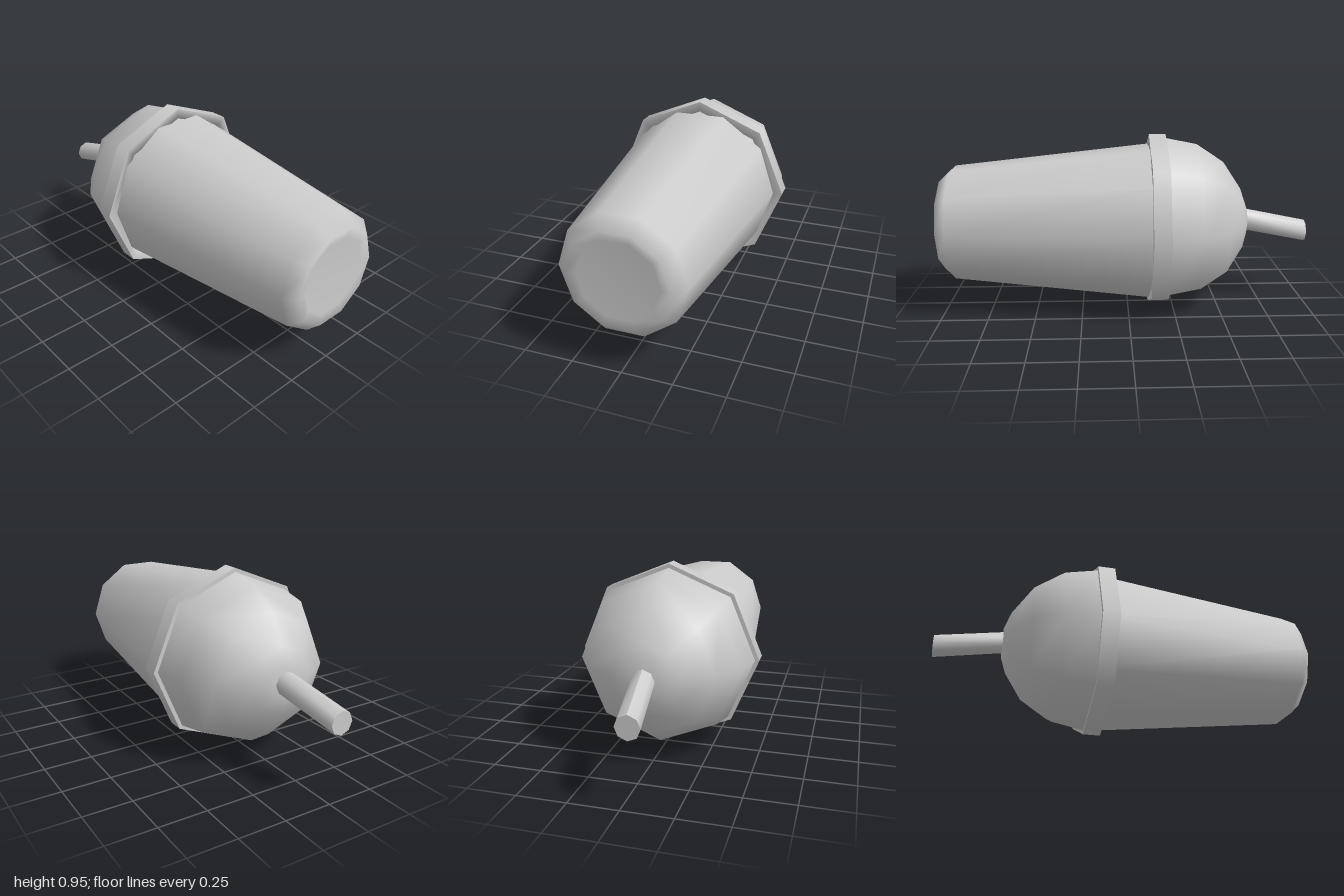
import * as THREE from 'three';

const material = new THREE.MeshStandardMaterial({ color: 0xcccccc, side: THREE.DoubleSide });

// Lathe around the z axis; profile is [radius, z] with z rising along the outside
function turned(name, profile, sides) {
  const points = profile.map(([r, z]) => new THREE.Vector2(r, z));
  const geometry = new THREE.LatheGeometry(points, sides, Math.PI / 2);
  geometry.rotateX(Math.PI / 2);
  const mesh = new THREE.Mesh(geometry, material);
  mesh.name = name;
  return mesh;
}

export function createModel() {
  const group = new THREE.Group();
  group.name = 'lidded cup';

  // Ten-sided tapered cup with a bevelled, slightly recessed base
  group.add(turned('cup', [[0.435, -0.2], [0.31, 0.94], [0.25, 1], [0.2, 0.988], [0, 0.988]], 10));

  // Octagonal lid rim: separate faces keep its edges sharp
  const rim = new THREE.Group();
  rim.name = 'lidRim';
  rim.add(
    turned('rimOuterWall', [[0.476, -0.205], [0.476, -0.115]], 8),
    turned('rimInside', [[0.476, -0.115], [0.423, -0.115], [0.423, -0.2]], 8),
    turned('rimTop', [[0.42, -0.205], [0.476, -0.205]], 8),
  );
  group.add(rim);

  // Domed lid, a half sphere flattened at its crown
  const dome = [[0, -0.655], [0.085, -0.652]];
  for (let i = 3; i >= 0; i--) {
    const a = (i * Math.PI) / 8;
    dome.push([0.455 * Math.cos(a), -0.2 - 0.455 * Math.sin(a)]);
  }
  group.add(turned('domeLid', dome, 8));

  // Leaning straw, sheared so that its ends stay square to the cup's axis
  const strawGeometry = new THREE.CylinderGeometry(0.06, 0.06, 0.4, 8);
  strawGeometry.rotateX(-Math.PI / 2);
  strawGeometry.translate(0, 0, -0.8);
  strawGeometry.applyMatrix4(new THREE.Matrix4().set(
    1, 0, 0.13, 0.085,
    0, 1, -0.23, -0.15,
    0, 0, 1, 0,
    0, 0, 0, 1,
  ));
  // Move the hidden end back under the dome
  strawGeometry.computeVertexNormals();
  const straw = new THREE.Mesh(strawGeometry, material);
  straw.name = 'straw';
  group.add(straw);

  // Lay the whole cup on the ground
  group.children.forEach((part) => { part.position.y = 0.476; });
  // Correct the lean so the straw drops toward its open end
  straw.geometry.applyMatrix4(new THREE.Matrix4().set(
    1, 0, 0, 0,
    0, 1, 0.46, 0.3,
    0, 0, 1, 0,
    0, 0, 0, 1,
  ));
  straw.geometry.computeVertexNormals();
  return group;
}
